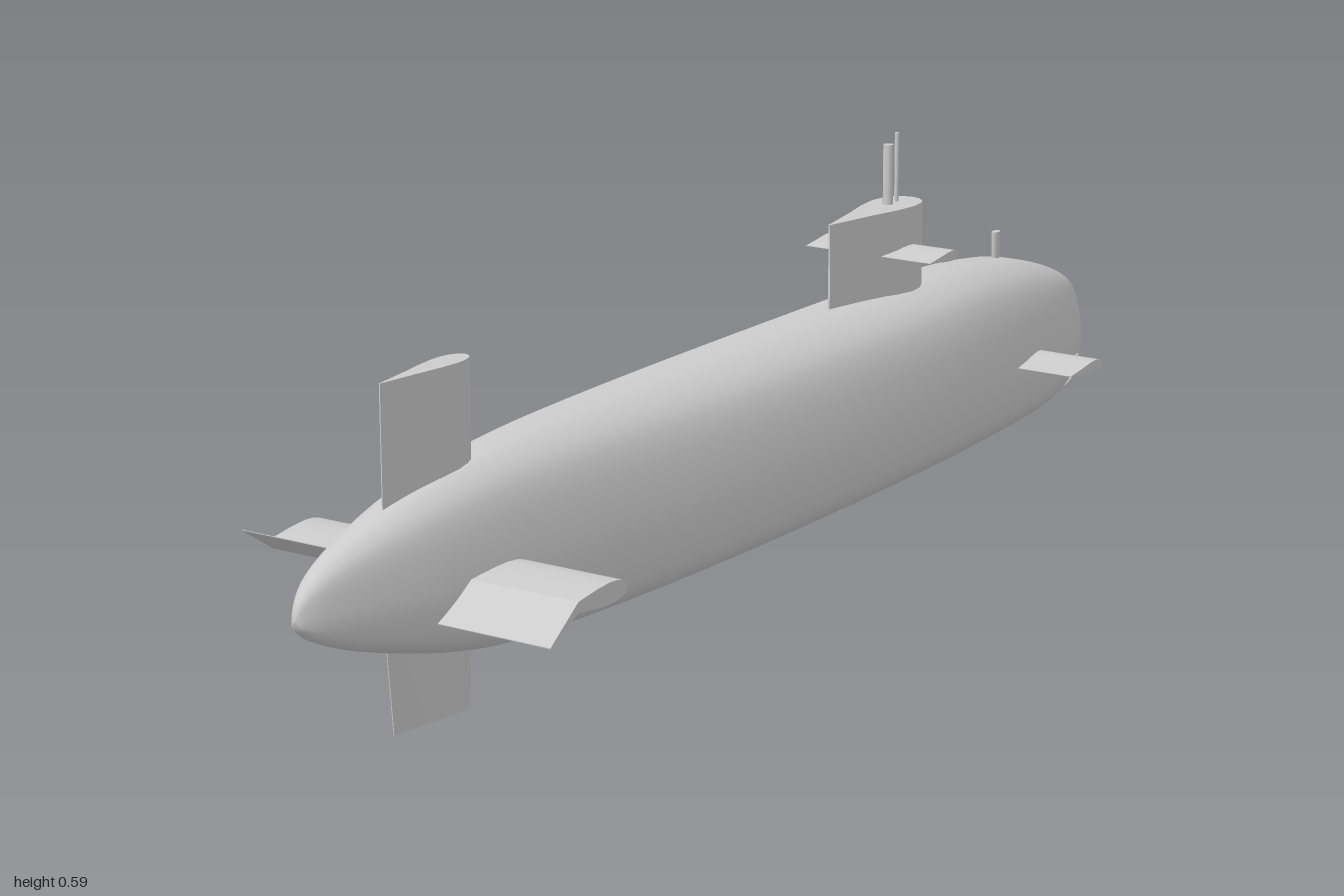
import * as THREE from 'three';
import { toCreasedNormals } from 'three/addons/utils/BufferGeometryUtils.js';

const material = new THREE.MeshStandardMaterial({ color: 0xcccccc });

function add(parent, name, geometry, x = 0, y = 0, z = 0) {
  const mesh = new THREE.Mesh(geometry, material);
  mesh.name = name;
  mesh.position.set(x, y, z);
  parent.add(mesh);
  return mesh;
}

// Hull lofted through stations: z, half width, top y, bottom y
function hullGeometry() {
  const stations = [
    [-1, 0, 0.195, 0.195], [-0.988, 0.03, 0.235, 0.165], [-0.97, 0.047, 0.266, 0.145],
    [-0.93, 0.07, 0.288, 0.121], [-0.85, 0.098, 0.316, 0.095], [-0.75, 0.114, 0.339, 0.082],
    [-0.6, 0.127, 0.353, 0.078], [-0.4, 0.138, 0.355, 0.076], [-0.1, 0.142, 0.355, 0.075],
    [0.2, 0.135, 0.355, 0.075], [0.45, 0.118, 0.353, 0.077], [0.6, 0.103, 0.346, 0.081],
    [0.7, 0.09, 0.335, 0.092], [0.8, 0.073, 0.316, 0.115], [0.9, 0.048, 0.288, 0.146],
    [0.96, 0.028, 0.262, 0.172], [0.99, 0.012, 0.235, 0.193], [1, 0, 0.21, 0.21],
  ];
  // Half section: x as a share of half width, y as a share of height
  const half = [[0, 1], [0.3, 0.985], [0.62, 0.9], [0.82, 0.74], [0.96, 0.5],
    [1, 0.32], [0.94, 0.15], [0.72, 0.05], [0.35, 0.008], [0, 0]];
  const ring = [...half, ...half.slice(1, -1).reverse().map(([x, y]) => [-x, y])];
  const section = new THREE.CatmullRomCurve3(
    ring.map(([x, y]) => new THREE.Vector3(x, y, 0)), true, 'catmullrom', 0.5);
  const track = (k) => new THREE.SplineCurve(stations.map((s) => new THREE.Vector2(s[0], s[k])));
  const [width, top, bottom] = [track(1), track(2), track(3)];

  const rows = 102, cols = 54, pos = [], index = [];
  for (let i = 0; i <= rows; i++) {
    const t = i / rows, w = width.getPoint(t), yt = top.getPoint(t).y, yb = bottom.getPoint(t).y;
    for (let j = 0; j < cols; j++) {
      const p = section.getPoint(j / cols);
      pos.push(p.x * Math.max(w.y, 0), yb + (yt - yb) * p.y, w.x);
    }
  }
  for (let i = 0; i < rows; i++) {
    for (let j = 0; j < cols; j++) {
      const a = i * cols + j, b = i * cols + (j + 1) % cols, c = a + cols, d = b + cols;
      index.push(a, c, b, b, c, d);
    }
  }
  const g = new THREE.BufferGeometry();
  g.setAttribute('position', new THREE.Float32BufferAttribute(pos, 3));
  g.setIndex(index);
  g.computeVertexNormals();
  return g;
}

// Foil with its leading edge at z0; droop bends the trailing flap down, taper narrows the base
function foil(z0, z1, thick, span, { droop = 0, taper = 1, hinge = 0.64 } = {}) {
  const outline = [[0, 0], [0.015, 0.4], [0.06, 0.72], [0.13, 0.92], [0.24, 1],
    [0.4, 0.86], [0.64, 0.5], [1, 0.04]];
  const bend = (u) => -droop * Math.max(0, (u - hinge) / (1 - hinge));
  const at = ([u, h], s) => new THREE.Vector2((u - 0.5) * (z1 - z0), bend(u) + s * h * thick);
  const upper = outline.map((p) => at(p, 1)), lower = outline.slice(1).map((p) => at(p, -1));
  const shape = new THREE.Shape([...lower, ...upper.reverse()]);
  const g = new THREE.ExtrudeGeometry(shape, { depth: span, bevelEnabled: false });
  const p = g.attributes.position;
  for (let i = 0; i < p.count; i++) {
    if (p.getZ(i) < span / 2) p.setX(i, p.getX(i) * taper);
  }
  g.translate((z0 + z1) / 2, 0, 0);
  return toCreasedNormals(g, 0.5);
}
const flat = (...args) => foil(...args).rotateY(-Math.PI / 2); // spans from x = 0 to -span
const upright = (...args) => foil(...args).rotateX(-Math.PI / 2).rotateY(-Math.PI / 2);

export function createModel() {
  const model = new THREE.Group();
  model.name = 'submarine';
  add(model, 'hull', hullGeometry());

  // Sail with its planes and masts
  const sail = new THREE.Group();
  sail.name = 'sail';
  model.add(sail);
  add(sail, 'sailTower', upright(-0.5, -0.26, 0.038, 0.165), 0, 0.32);
  add(sail, 'sailPlanes', flat(-0.455, -0.37, 0.008, 0.222), 0.111, 0.418);
  add(sail, 'periscope', new THREE.CylinderGeometry(0.008, 0.008, 0.12, 16), -0.004, 0.518, -0.435);
  add(sail, 'antenna', new THREE.CylinderGeometry(0.0035, 0.0035, 0.13, 10), -0.004, 0.527, -0.46);

  // Bow planes and bow mast
  add(model, 'bowPlanes', flat(-0.73, -0.628, 0.01, 0.434), 0.217, 0.2);
  const mast = add(model, 'bowMast', new THREE.CylinderGeometry(0.01, 0.008, 0.06, 14), 0, 0.35, -0.765);
  mast.scale.x = 0.6;

  // Stern planes, flaps deflected in opposite directions
  add(model, 'leftSternPlane', flat(0.63, 0.8, 0.015, 0.252, { droop: 0.038 }), 0.252, 0.204);
  add(model, 'rightSternPlane', flat(0.63, 0.8, 0.015, 0.254, { droop: -0.034 }), 0, 0.203);

  // Rudders
  add(model, 'upperRudder', upright(0.637, 0.818, 0.02, 0.2), 0, 0.28);
  add(model, 'lowerRudder', upright(0.635, 0.82, 0.018, 0.16, { taper: 0.84 }));

  // Torpedo tube doors, two on each side of the bow
  for (const side of [1, -1]) {
    for (const [x, y, z, roll] of [[0.089, 0.15, -0.873, -0.3], [0.07, 0.116, -0.885, -0.85]]) {
      const door = add(model, 'torpedoTubeDoor', new THREE.SphereGeometry(1, 20, 12), side * x, y, z);
      door.scale.set(0.006, 0.014, 0.045);
      door.rotation.set(0, side * 0.36, side * roll, 'YXZ');
    }
  }
  return model;
}
